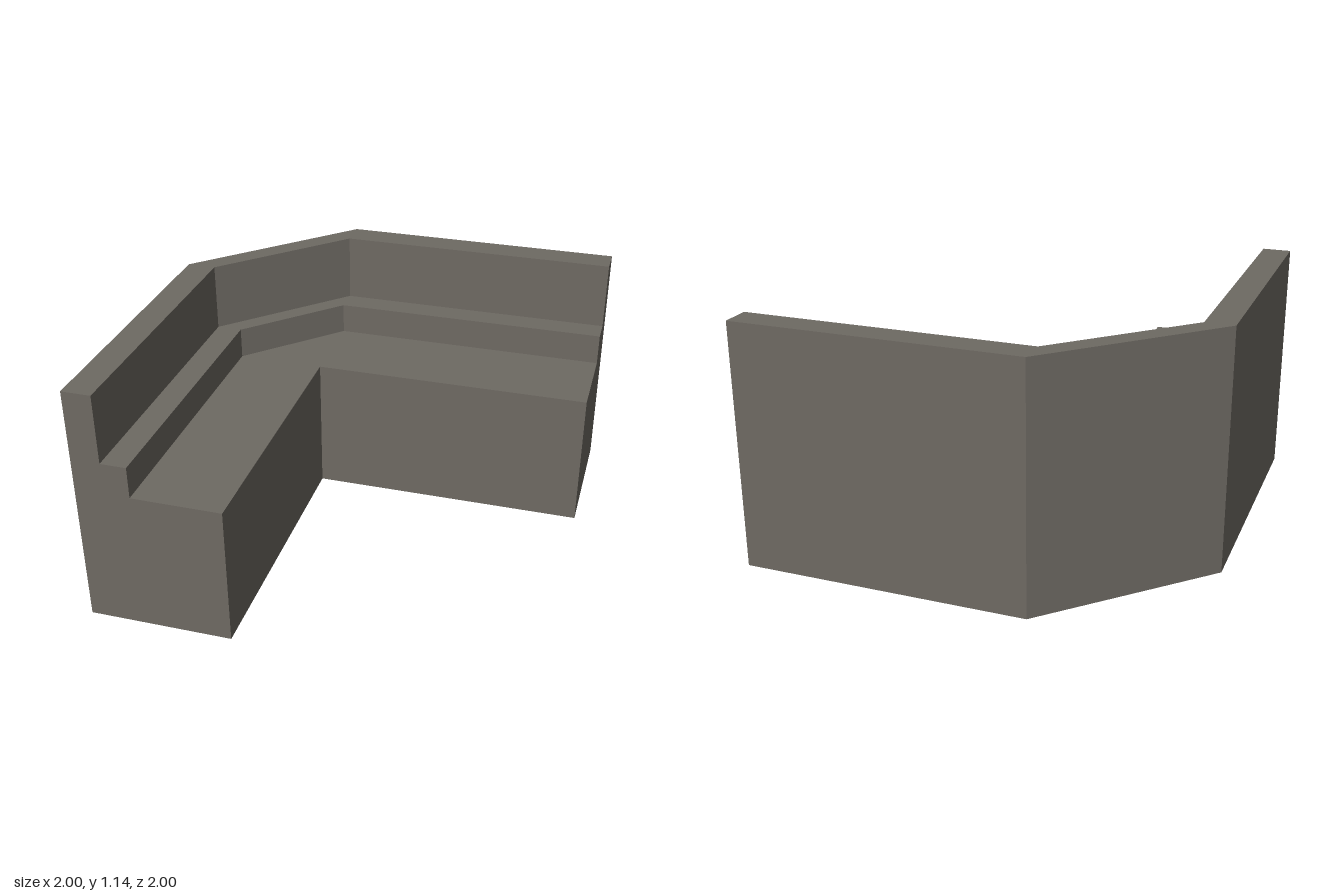
import * as THREE from 'three';

// Stepped cross-section: [distance in from the outer wall, height]
const PROFILE = [
  [0, 0], [0, 1.145], [0.135, 1.145], [0.135, 0.82],
  [0.255, 0.82], [0.255, 0.67], [0.67, 0.67], [0.67, 0],
];

// Stations along the L-shaped run, with a chamfered outer corner
const STATIONS = [
  (d, y) => [-1 + d, y, 1],
  (d, y) => [-1 + d, y, -0.33],
  (d, y) => [-0.33, y, -1 + d],
  (d, y) => [1, y, -1 + d],
];

const at = (station, i) => STATIONS[station](...PROFILE[i % PROFILE.length]);
const same = (a, b) => a.every((v, i) => Math.abs(v - b[i]) < 1e-6);

function makeMesh(name, triangles, material) {
  const geometry = new THREE.BufferGeometry();
  geometry.setAttribute('position', new THREE.Float32BufferAttribute(triangles.flat(2), 3));
  geometry.computeVertexNormals();
  const mesh = new THREE.Mesh(geometry, material);
  mesh.name = name;
  return mesh;
}

// Sweep one stretch of the profile through all the stations
function sweep(from, to) {
  const triangles = [];
  for (let s = 0; s < STATIONS.length - 1; s++) {
    for (let i = from; i < to; i++) {
      const a = at(s, i), b = at(s, i + 1), c = at(s + 1, i + 1), d = at(s + 1, i);
      // The run pinches to a point at the inner corner, so skip empty triangles
      if (!same(b, c)) triangles.push([a, b, c]);
      if (!same(a, d)) triangles.push([a, c, d]);
    }
  }
  return triangles;
}

// Flat end panel with the stepped outline
function endPanel(station, flip) {
  const last = PROFILE.length - 1;
  const outline = PROFILE.map(([d, y]) => new THREE.Vector2(d, y)).reverse();
  return THREE.ShapeUtils.triangulateShape(outline, []).map((face) => {
    const corners = face.map((i) => at(station, last - i));
    return flip ? corners.reverse() : corners;
  });
}

export function createModel() {
  const group = new THREE.Group();
  group.name = 'cornerBench';
  const material = new THREE.MeshStandardMaterial({ color: 0x6e6a63 });
  material.name = 'warmGrey';

  group.add(
    makeMesh('backrest', sweep(0, 3), material),
    makeMesh('ledge', sweep(3, 5), material),
    makeMesh('seat', sweep(5, 7), material),
    makeMesh('underside', sweep(7, 8), material),
    makeMesh('frontEnd', endPanel(0, false), material),
    makeMesh('leftEnd', endPanel(3, true), material),
  );
  return group;
}
